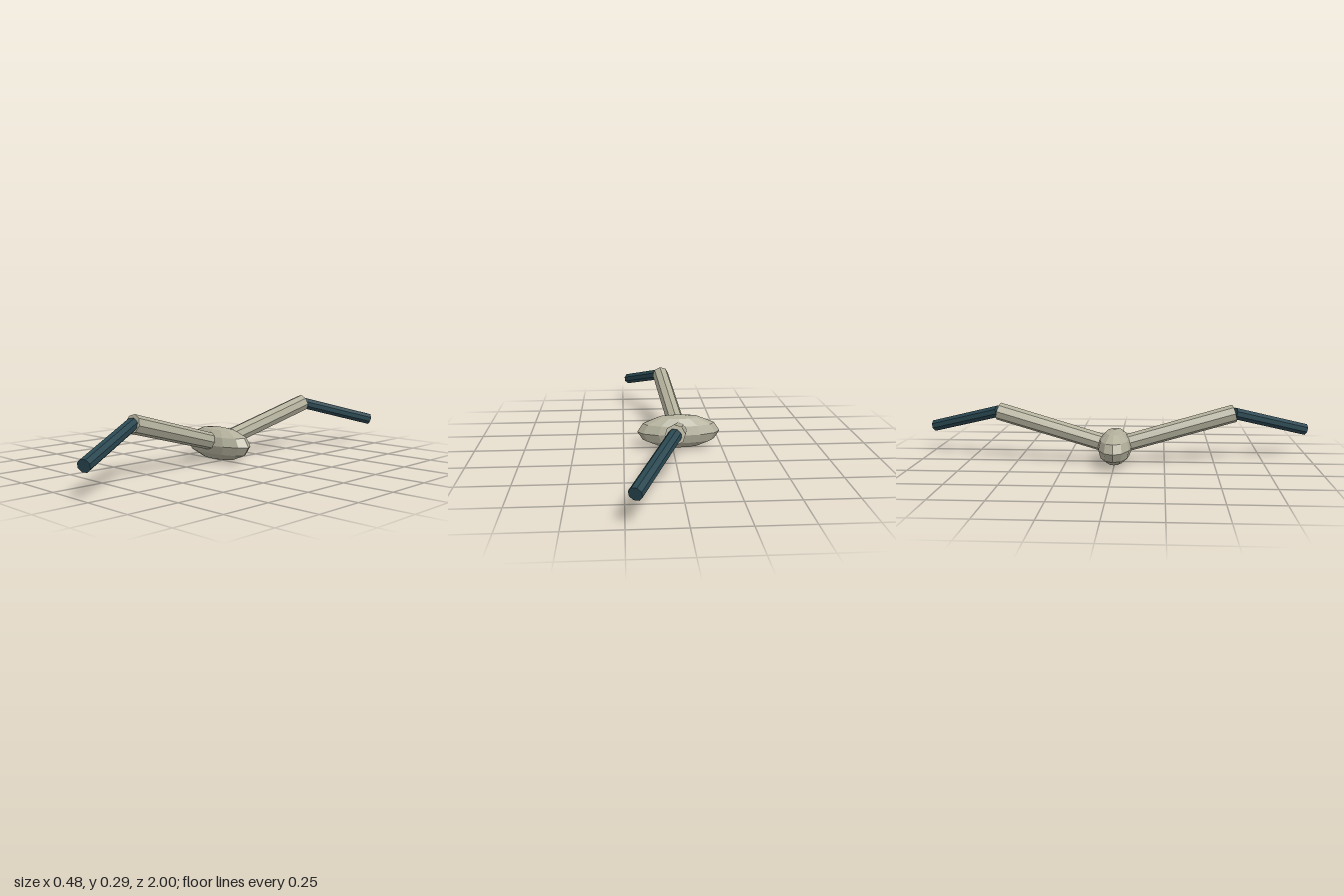
import * as THREE from 'three';

const shell = new THREE.MeshStandardMaterial({ name: 'stone beige', color: 0xb3b09c, flatShading: true });
const tip = new THREE.MeshStandardMaterial({ name: 'dark teal', color: 0x2a4751, flatShading: true });

// Eight-sided rod running from one point to another
function rod(name, from, to, rFrom, rTo, material) {
  const dir = to.clone().sub(from);
  const mesh = new THREE.Mesh(new THREE.CylinderGeometry(rTo, rFrom, dir.length(), 8), material);
  mesh.name = name;
  mesh.position.copy(from).addScaledVector(dir, 0.5);
  mesh.quaternion.setFromUnitVectors(new THREE.Vector3(0, 1, 0), dir.normalize());
  return mesh;
}

export function createModel() {
  const model = new THREE.Group();
  model.name = 'jointedLimbs';

  // Faceted body, stretched sideways
  const bodyGeometry = new THREE.SphereGeometry(1, 12, 6).scale(0.21, 0.086, 0.087);
  const body = new THREE.Mesh(bodyGeometry, shell);
  body.name = 'body';
  body.position.set(-0.03, 0.086, 0);
  model.add(body);

  // Mirrored limbs: a rising upper segment and a drooping lower one
  for (const [side, s] of [['front', 1], ['back', -1]]) {
    const root = new THREE.Vector3(-0.03, 0.086, 0);
    const knee = new THREE.Vector3(0.03, 0.25, 0.6 * s);
    const end = new THREE.Vector3(0.209, 0.139, 0.987 * s);
    const limb = new THREE.Group();
    limb.name = side + 'Limb';
    limb.add(rod(side + 'UpperSegment', root, knee, 0.043, 0.045, shell));
    limb.add(rod(side + 'LowerSegment', knee, end, 0.031, 0.031, tip));
    model.add(limb);
  }
  return model;
}
